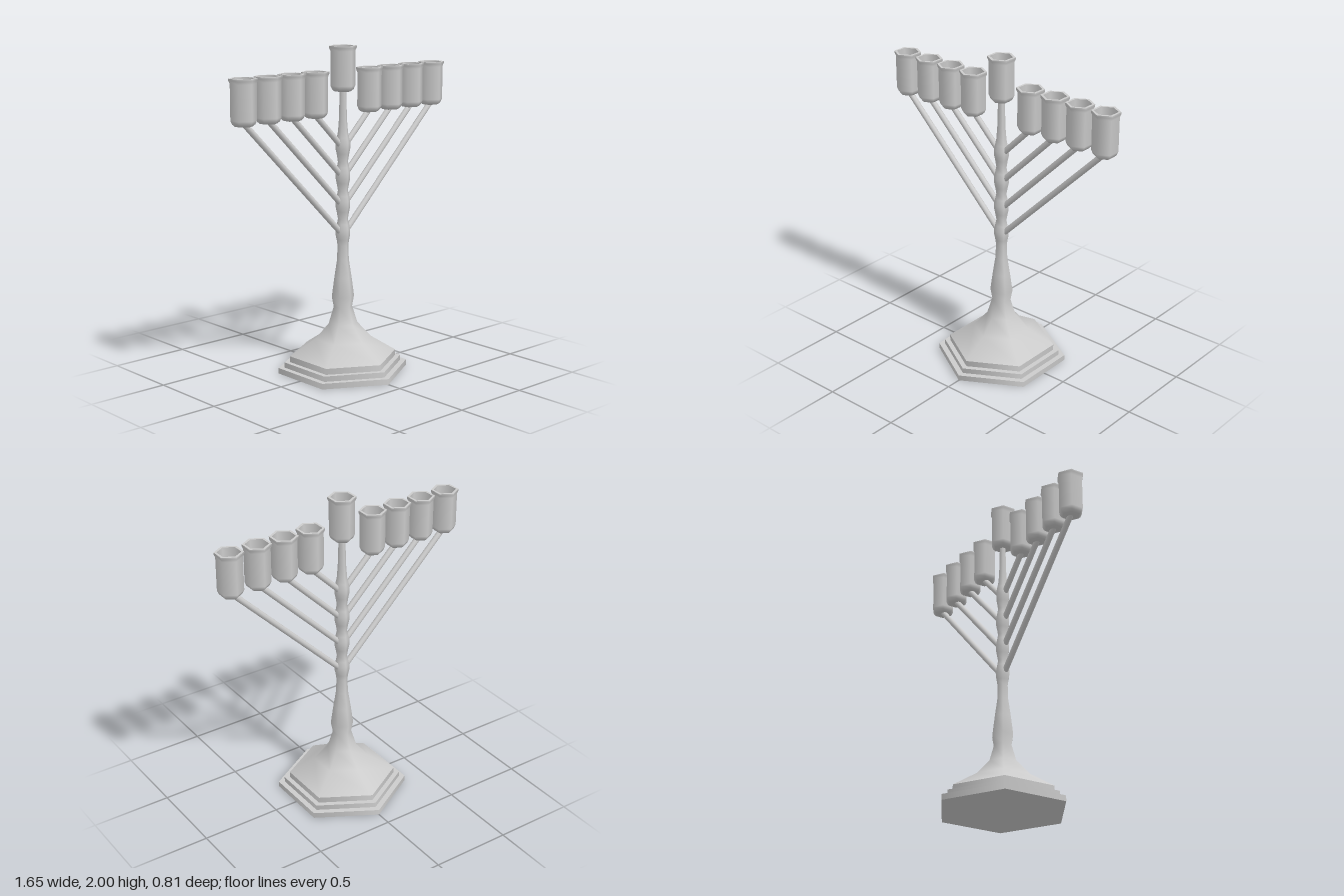
import * as THREE from 'three';

const material = new THREE.MeshStandardMaterial({ color: 0xcccccc, side: THREE.DoubleSide });

// Six-sided turned part; radii are measured to the corners, which point along z
function hexLathe(name, profile) {
  const points = profile.map(([r, y]) => new THREE.Vector2(r, y));
  const mesh = new THREE.Mesh(new THREE.LatheGeometry(points, 6), material);
  mesh.name = name;
  return mesh;
}

// Hollow candle cup with a chamfered foot and a flared rim, standing on y = 0
function makeCup(name, x, y) {
  const cup = new THREE.Group();
  cup.name = name;
  cup.add(
    hexLathe('cupBody', [[0, 0], [0.052, 0], [0.066, 0.012], [0.076, 0.034], [0.076, 0.24], [0.084, 0.258], [0.084, 0.27]]),
    hexLathe('cupRim', [[0.084, 0.27], [0.068, 0.27]]),
    hexLathe('cupInside', [[0.068, 0.27], [0.066, 0.05]]),
    hexLathe('cupFloor', [[0.066, 0.05], [0, 0.05]])
  );
  cup.position.set(x, y, 0);
  return cup;
}

// Straight round rod between two points
function makeArm(name, from, to) {
  const path = new THREE.LineCurve3(from, to);
  const mesh = new THREE.Mesh(new THREE.TubeGeometry(path, 1, 0.018, 10), material);
  mesh.name = name;
  return mesh;
}

export function createModel() {
  const model = new THREE.Group();
  model.name = 'candelabrum';

  // Stepped base: each step has a wall and a flat tread
  const base = new THREE.Group();
  base.name = 'base';
  const steps = [[0.405, 0, 0.035], [0.367, 0.035, 0.068], [0.333, 0.068, 0.105]];
  steps.forEach(([r, y0, y1], i) => {
    base.add(hexLathe('stepWall', [[r, y0], [r, y1]]));
    if (i < 2) base.add(hexLathe('stepTread', [[r, y1], [steps[i + 1][0], y1]]));
  });
  base.add(hexLathe('underside', [[0, 0], [0.405, 0]]));
  model.add(base);

  // Sloping foot flowing into the stem
  const stem = [
    [0.333, 0.105], [0.175, 0.205], [0.09, 0.3], [0.058, 0.405], [0.07, 0.47],
    [0.054, 0.59], [0.037, 0.7], [0.034, 0.79]
  ];
  // A knob where each pair of arms meets the stem
  for (const y of [0.87, 1.045, 1.22, 1.4]) {
    stem.push([0.039, y - 0.045], [0.045, y - 0.018], [0.045, y + 0.018], [0.038, y + 0.052], [0.031, y + 0.085]);
  }
  stem.push([0.025, 1.56], [0.02, 1.735]);
  model.add(hexLathe('stem', stem));

  // Central cup stands higher than the rest
  model.add(makeCup('centreCup', 0, 1.73));

  // Four mirrored pairs of slanted arms, each carrying a cup
  for (const [side, label] of [[1, 'left'], [-1, 'right']]) {
    [0.218, 0.396, 0.573, 0.752].forEach((x, i) => {
      const start = new THREE.Vector3(side * 0.01, 1.605 - x + 0.01, 0);
      const end = new THREE.Vector3(side * x, 1.605, 0);
      model.add(makeArm(`${label}Arm${i + 1}`, start, end));
      model.add(makeCup(`${label}Cup${i + 1}`, side * x, 1.59));
    });
  }
  return model;
}
